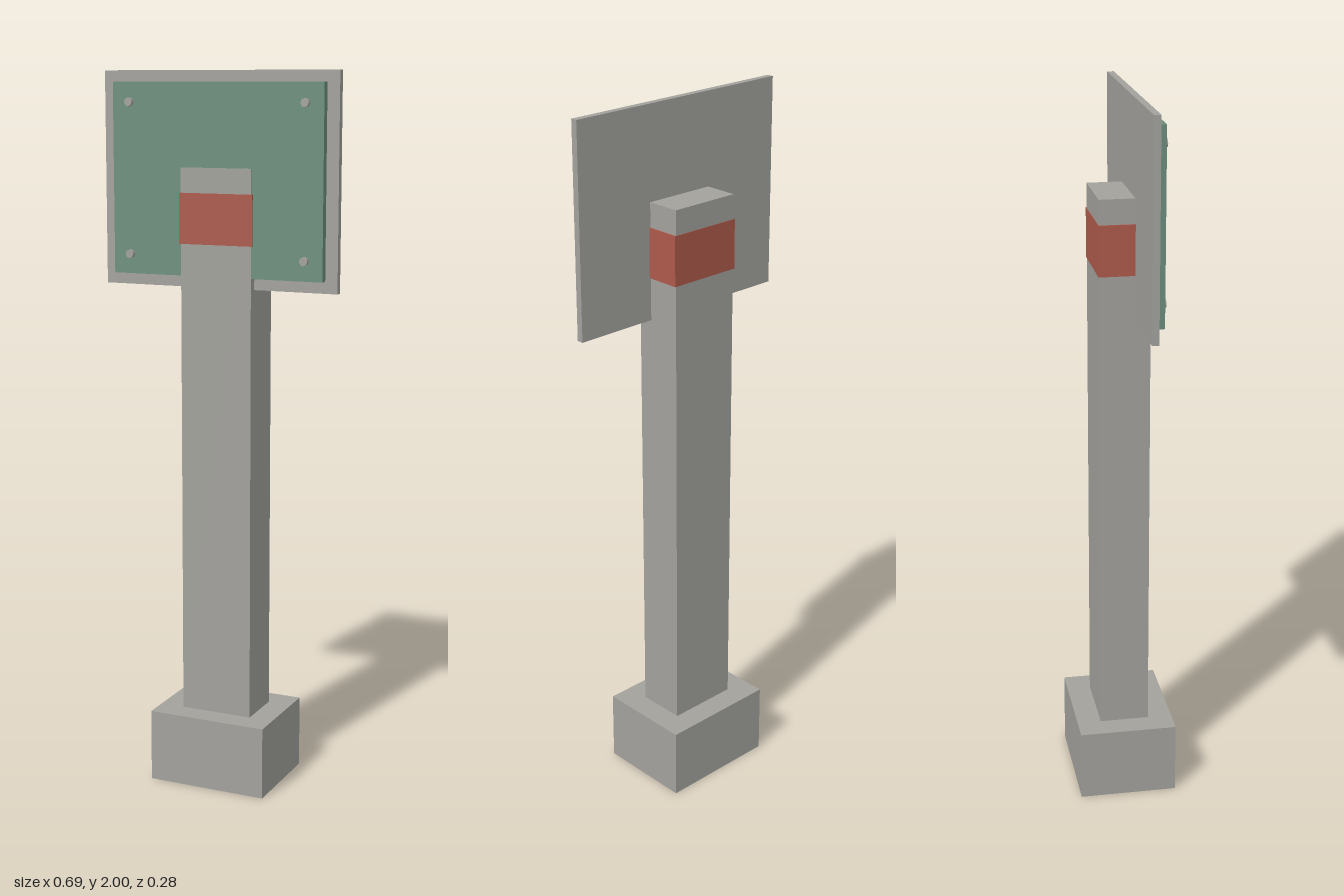
import * as THREE from 'three';

export function createModel() {
  const model = new THREE.Group();
  const paint = (name, color) => {
    const material = new THREE.MeshStandardMaterial({ color });
    material.name = name;
    return material;
  };
  const grey = paint('concrete grey', 0xa3a29d);
  const green = paint('sign green', 0x6c8f7d);
  const red = paint('band red', 0xae5a4c);

  // Box given by its [min, max] extent on each axis
  function box(name, material, [x0, x1], [y0, y1], [z0, z1]) {
    const mesh = new THREE.Mesh(new THREE.BoxGeometry(x1 - x0, y1 - y0, z1 - z0), material);
    mesh.position.set((x0 + x1) / 2, (y0 + y1) / 2, (z0 + z1) / 2);
    mesh.name = name;
    model.add(mesh);
  }

  // Footing, post and the band painted around the post
  box('footing', grey, [-0.173, 0.173], [0, 0.205], [-0.138, 0.138]);
  box('post', grey, [-0.104, 0.104], [0.205, 1.743], [-0.07, 0.069]);
  box('band', red, [-0.108, 0.108], [1.537, 1.675], [-0.0715, 0.072]);

  // Backing plate and the raised green panel on its front
  box('backingPlate', grey, [-0.344, 0.344], [1.418, 2], [0.027, 0.046]);
  box('signPanel', green, [-0.309, 0.309], [1.45, 1.97], [0.046, 0.067]);

  // Bolt heads at the four corners of the panel
  const boltGeometry = new THREE.CylinderGeometry(0.012, 0.012, 0.012, 8).rotateX(Math.PI / 2);
  for (const x of [-0.258, 0.258]) {
    for (const y of [1.504, 1.916]) {
      const bolt = new THREE.Mesh(boltGeometry, grey);
      bolt.position.set(x, y, 0.072);
      bolt.name = 'bolt';
      model.add(bolt);
    }
  }
  return model;
}
